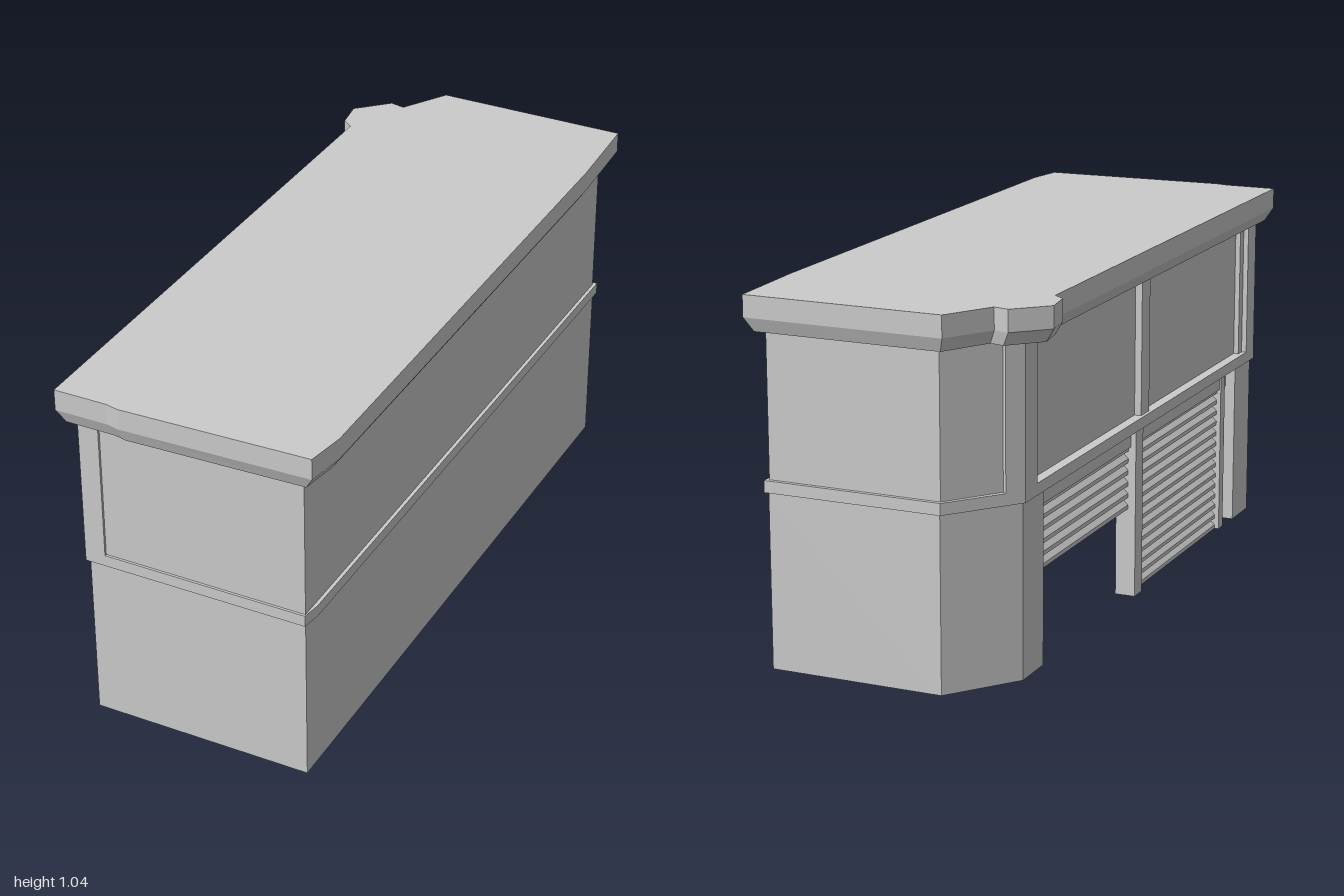
import * as THREE from 'three';

const material = new THREE.MeshStandardMaterial({ color: 0xcccccc, flatShading: true, side: THREE.DoubleSide });

export function createModel() {
  const model = new THREE.Group();

  const add = (name, geometry) => {
    const mesh = new THREE.Mesh(geometry, material);
    mesh.name = name;
    model.add(mesh);
    return mesh;
  };

  // Vertical prism from a plan outline of [x, z] points
  const prism = (plan, y0, y1) => {
    const shape = new THREE.Shape(plan.map(([x, z]) => new THREE.Vector2(x, -z)));
    return new THREE.ExtrudeGeometry(shape, { depth: y1 - y0, bevelEnabled: false })
      .rotateX(-Math.PI / 2).translate(0, y0, 0);
  };

  // Box from its lower and upper limits
  const box = (name, x0, x1, y0, y1, z0, z1) => add(name,
    new THREE.BoxGeometry(x1 - x0, y1 - y0, z1 - z0)
      .translate((x0 + x1) / 2, (y0 + y1) / 2, (z0 + z1) / 2));

  // Lower storey: two end blocks, a thin side wall and the recess ceiling
  add('lowerBackBlock', prism([[0.34, -0.95], [-0.155, -0.95], [-0.3, -0.76], [-0.3, -0.63],
    [-0.25, -0.63], [-0.25, -0.7], [0.34, -0.7]], 0.025, 0.52));
  add('lowerFrontBlock', prism([[0.34, 0.95], [-0.3, 0.95], [-0.3, 0.82], [-0.24, 0.82],
    [-0.24, 0.78], [0.34, 0.78]], 0.025, 0.52));
  box('lowerSideWall', 0.335, 0.34, 0.025, 0.52, -0.7, 0.78);
  box('recessCeiling', -0.27, 0.335, 0.45, 0.52, -0.7, 0.82);

  // Upper storey with a long recessed panel on the shop side
  add('upperWalls', prism([[0.34, -0.945], [-0.155, -0.945], [-0.295, -0.76], [-0.28, -0.69],
    [-0.28, 0.9], [-0.3, 0.95], [0.34, 0.95]], 0.52, 0.96));

  // Raised boards at the corners of the upper storey
  add('frontCornerBoard', prism([[-0.25, 0.957], [-0.31, 0.957], [-0.31, 0.89], [-0.27, 0.89],
    [-0.27, 0.94], [-0.25, 0.94]], 0.52, 0.96));
  add('backCornerBoard', prism([[-0.275, -0.81], [-0.31, -0.765], [-0.31, -0.69], [-0.27, -0.69],
    [-0.25, -0.79]], 0.52, 0.96));
  box('frontPanelEdge', -0.295, -0.27, 0.52, 0.96, 0.86, 0.9);
  box('panelMullion', -0.3, -0.27, 0.52, 0.96, 0.05, 0.11);

  // Belt moulding and sill between the storeys
  add('beltMoulding', prism([[0.35, -0.957], [-0.16, -0.957], [-0.31, -0.765], [-0.31, 0.957],
    [0.342, 0.957], [0.35, 0.9]], 0.512, 0.545));

  // Roof slab: straight fascia above a tapered underside
  const roofPlan = [[-0.19, -1], [0.377, -0.995], [0.39, -0.72], [0.395, 0.865], [0.377, 0.978],
    [-0.165, 0.995], [-0.2, 0.987], [-0.355, 0.987], [-0.355, -0.68], [-0.387, -0.705],
    [-0.4, -0.79], [-0.313, -0.875], [-0.27, -0.865]];
  add('roofSlab', prism(roofPlan, 0.985, 1.045));
  const taper = prism(roofPlan, 0.947, 0.985);
  const p = taper.attributes.position;
  for (let i = 0; i < p.count; i++) {
    if (p.getY(i) < 0.96) p.setXYZ(i, p.getX(i) * 0.937, p.getY(i), p.getZ(i) * 0.985);
  }
  taper.computeVertexNormals();
  add('roofTaper', taper);

  // Roller shutter: a ribbed profile swept along z
  const shutter = (name, yBottom, z0, z1) => {
    const top = 0.5, count = Math.round((top - yBottom) / 0.034), pitch = (top - yBottom) / count;
    const shape = new THREE.Shape();
    shape.moveTo(-0.235, yBottom);
    for (let i = 0; i < count; i++) {
      const y = yBottom + i * pitch;
      shape.lineTo(-0.262, y + pitch * 0.15);
      shape.lineTo(-0.262, y + pitch * 0.5);
      shape.lineTo(-0.245, y + pitch);
    }
    // Ribs repeat on the inner face
    for (let i = count; i > 0; i--) {
      const y = yBottom + i * pitch;
      shape.lineTo(-0.228, y);
      shape.lineTo(-0.24, y - pitch * 0.7);
    }
    add(name, new THREE.ExtrudeGeometry(shape, { depth: z1 - z0, bevelEnabled: false }).translate(0, 0, z0));
  };
  shutter('openShutter', 0.26, -0.63, 0.06);
  shutter('closedShutter', 0, 0.1, 0.79);

  // Shutter guides
  box('centreGuide', -0.285, -0.225, 0.005, 0.515, 0.05, 0.105);
  box('frontGuide', -0.275, -0.225, 0.005, 0.515, 0.765, 0.8);
  box('backGuide', -0.275, -0.225, 0.005, 0.515, -0.635, -0.6);

  return model;
}
